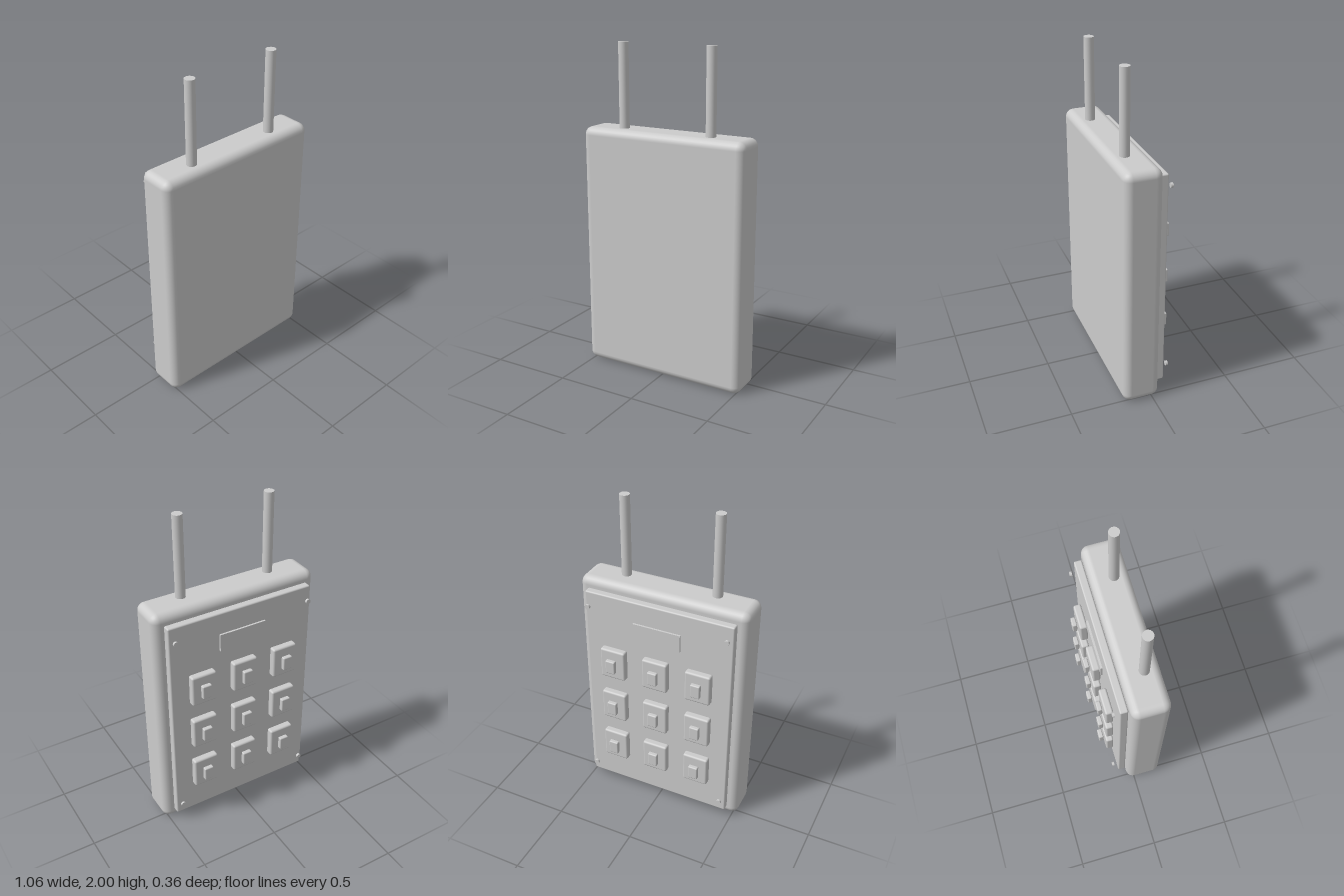
import * as THREE from 'three';
import { RoundedBoxGeometry } from 'three/addons/geometries/RoundedBoxGeometry.js';

export function createModel() {
  const model = new THREE.Group();
  model.name = 'keypadTransmitter';
  const grey = new THREE.MeshStandardMaterial({ color: 0xcccccc });
  grey.name = 'plain grey';

  const add = (name, geometry, x, y, z, parent = model) => {
    const mesh = new THREE.Mesh(geometry, grey);
    mesh.name = name;
    mesh.position.set(x, y, z);
    parent.add(mesh);
    return mesh;
  };
  const rounded = (w, h, d, r, segments = 2) => new RoundedBoxGeometry(w, h, d, segments, r);

  // Case and the raised panel on its back
  add('case', rounded(1.06, 1.5, 0.225, 0.048, 3), 0, 0.75, 0.0665);
  add('panel', rounded(0.934, 1.372, 0.048, 0.009), 0, 0.754, -0.072);

  // Thin display plate, held just off the panel
  add('display', new THREE.BoxGeometry(0.3, 0.11, 0.012), 0, 1.255, -0.109);

  // Three by three grid of keys, each with a small cap
  const keyGeometry = rounded(0.16, 0.198, 0.048, 0.012);
  const capGeometry = rounded(0.06, 0.087, 0.029, 0.007);
  for (const y of [1.002, 0.69, 0.378]) {
    for (const x of [-0.275, 0, 0.275]) {
      const key = new THREE.Group();
      key.name = 'key';
      key.position.set(x, y, 0);
      model.add(key);
      add('keyBase', keyGeometry, 0, 0, -0.122, key);
      add('keyCap', capGeometry, 0, 0, -0.1655, key);
    }
  }

  // Corner screws and the two antennas
  const screwGeometry = new THREE.CylinderGeometry(0.015, 0.015, 0.014, 12).rotateX(Math.PI / 2);
  const antennaGeometry = new THREE.CylinderGeometry(0.03, 0.03, 0.56, 24);
  for (const side of [-1, 1]) {
    for (const y of [0.155, 1.355]) add('screw', screwGeometry, side * 0.436, y, -0.125);
    add('antenna', antennaGeometry, side * 0.287, 1.72, 0.09);
  }
  return model;
}
